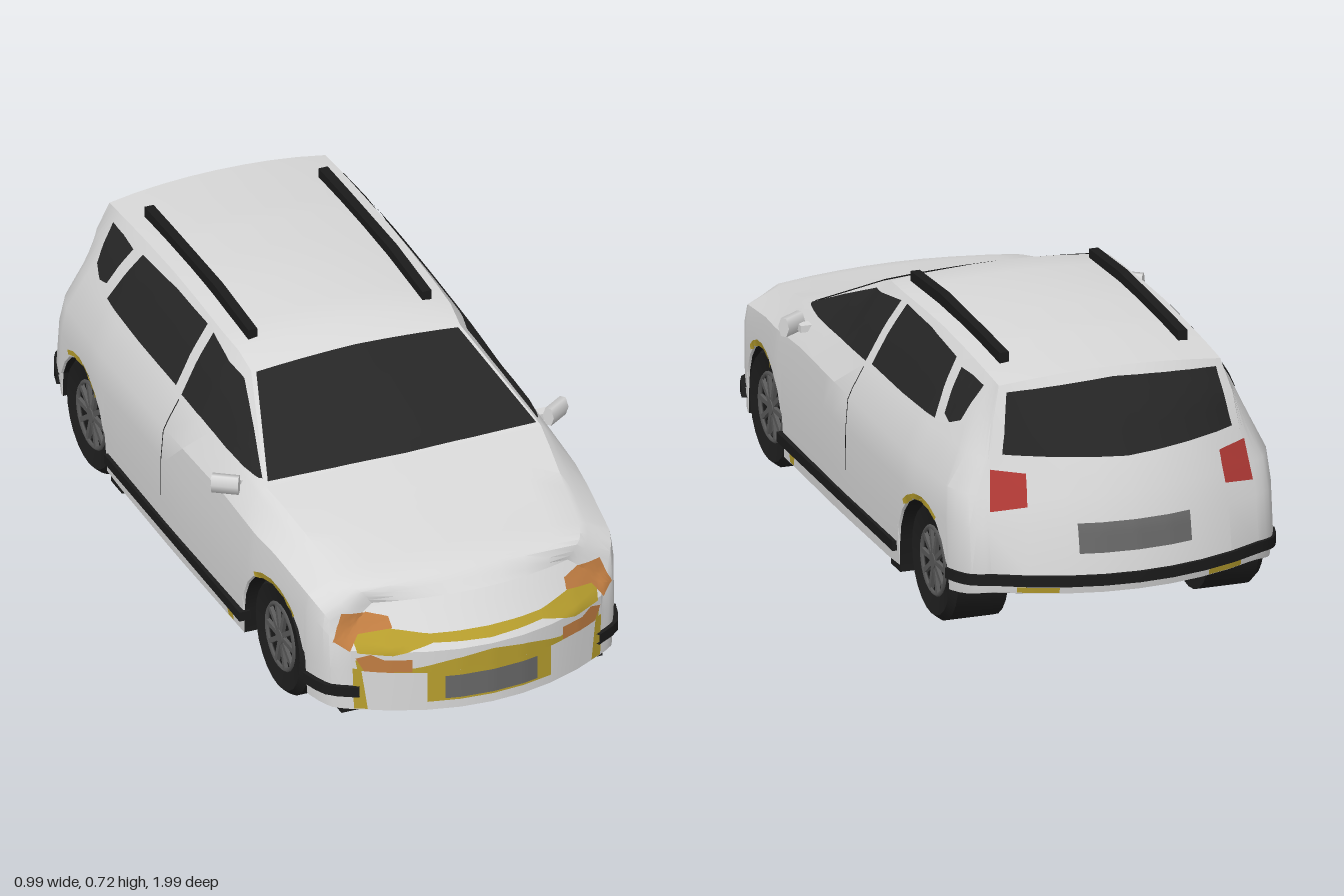
import * as THREE from 'three';
import { toCreasedNormals } from 'three/addons/utils/BufferGeometryUtils.js';

const mat = (name, color) => new THREE.MeshStandardMaterial({ name, color, side: THREE.DoubleSide });
const clamp = (v) => Math.min(1, Math.max(0, v));
const lerp = (a, b, t) => a + (b - a) * t;

// Piecewise linear curve through [key, value] pairs, keys ascending
function curve(pts) {
  return (s) => {
    if (s <= pts[0][0]) return pts[0][1];
    for (let i = 1; i < pts.length; i++) {
      const [a, va] = pts[i - 1], [b, vb] = pts[i];
      if (s <= b) return lerp(va, vb, (s - a) / (b - a));
    }
    return pts[pts.length - 1][1];
  };
}

// Body lines along the length, -1 rear to 1 front
const width = curve([[-1, .36], [-.9, .402], [-.78, .435], [-.5, .452], [0, .455], [.5, .448], [.78, .42], [.9, .39], [1, .345]]);
const bottomY = curve([[-1, .155], [-.75, .13], [-.4, .085], [1, .08]]);
const midY = curve([[-1, .32], [.78, .33], [1, .25]]);
const shoulderY = curve([[-1, .4], [.3, .42], [.6, .4], [.78, .37], [1, .285]]);
const beltY = curve([[-1, .48], [-.7, .5], [.3, .49], [.42, .475], [.78, .39], [1, .32]]);
const beltX = curve([[-1, .335], [-.8, .385], [-.5, .405], [.4, .402], [.78, .375], [1, .31]]);
const edgeY = curve([[-1, .665], [-.7, .675], [-.3, .685], [.05, .668], [.12, .645], [.42, .492], [.5, .478], [.78, .41], [.9, .388], [1, .352]]);
const edgeX = curve([[-1, .298], [-.8, .298], [0, .295], [.12, .288], [.42, .38], [.78, .33], [1, .27]]);
const centreY = curve([[-1, .685], [-.5, .7], [-.2, .705], [.05, .688], [.12, .657], [.42, .498], [.6, .462], [.78, .428], [.9, .402], [1, .362]]);
const rearRake = curve([[.15, .03], [.2, .02], [.3, .035], [.48, .105], [.65, .2], [.69, .235]]);
const rearFade = curve([[.48, 1], [.68, .35]]);

// Raked and rounded nose and tail
function pos(s, x, y) {
  const nose = clamp((s - .78) / .22) ** 2, tail = clamp((-.78 - s) / .22) ** 2, rake = clamp((-.5 - s) / .5);
  const z = s - nose * (.008 + Math.max(0, y - .25) * .8 + .9 * x * x)
    + rake * rearRake(y) + tail * .8 * x * x * rearFade(y);
  return new THREE.Vector3(x, y, z);
}

const AXLES = [.6, -.6], ARCH = .165;
function sillY(s) {
  let y = bottomY(s);
  for (const c of AXLES) {
    const d = Math.abs(s - c);
    if (d <= ARCH) y = Math.max(y, .15 + Math.sqrt(ARCH * ARCH - d * d));
  }
  return y;
}

// Side points of one cross-section, sill up to roof edge
function sidePoints(s) {
  const w = width(s), y0 = sillY(s), bx = beltX(s), by = beltY(s), ex = edgeX(s), ey = edgeY(s);
  return [[w * .985, y0], [w, Math.max(.2, y0 + .004)], [w, Math.max(midY(s), y0 + .008)],
    [w * .985, shoulderY(s)], [bx, by],
    [lerp(bx, ex, .55) + .04 * Math.max(0, ey - by), lerp(by, ey, .55)], [ex, ey]];
}
const topPoint = (s, f) => [edgeX(s) * f, lerp(centreY(s), edgeY(s), f * f)];
const FR = [1, .75, .5, .25, 0, -.25, -.5, -.75, -1];

// Surface through rows of points
function grid(rows, crease = .35) {
  const n = rows[0].length, idx = [];
  for (let i = 0; i < rows.length - 1; i++) for (let j = 0; j < n - 1; j++) {
    const a = i * n + j, b = a + n;
    idx.push(a, a + 1, b, b, a + 1, b + 1);
  }
  const g = new THREE.BufferGeometry().setFromPoints(rows.flat());
  g.setIndex(idx);
  return toCreasedNormals(g, crease);
}

export function createModel() {
  const car = new THREE.Group();
  const paint = mat('bodyPaint', 0xd8d8d8), trim = mat('blackTrim', 0x1b1b1b), glass = mat('darkGlass', 0x262626);
  const rubber = mat('tyreRubber', 0x1e1e1e), alloy = mat('wheelAlloy', 0x5a5a5a), floorGrey = mat('floorGrey', 0x8a8a8a);
  const plateGrey = mat('plateGrey', 0x686868), yellow = mat('yellow', 0xb89f2e), amber = mat('amberLamp', 0xc07d42), red = mat('redLamp', 0xb23a36);

  const add = (name, geo, m, x = 0, y = 0, z = 0, parent = car) => {
    const mesh = new THREE.Mesh(geo, m);
    mesh.name = name;
    mesh.position.set(x, y, z);
    parent.add(mesh);
    return mesh;
  };
  const box = (name, m, w, h, d, x, y, z, parent) => add(name, new THREE.BoxGeometry(w, h, d), m, x, y, z, parent);

  // Stations, closer together round the wheel arches
  const stations = [-1, -.97, -.94, -.9, -.86, -.82, -.78, -.35, -.2, -.05, .05, .12, .22, .32, .42, .5, .78, .82, .86, .9, .94, .97, 1];
  for (const c of AXLES) {
    stations.push(c - ARCH - .003, c + ARCH + .003);
    for (let i = 0; i <= 10; i++) stations.push(c + ARCH * Math.cos(i * Math.PI / 10) * .9999);
  }
  stations.sort((a, b) => a - b);

  // Body shell and both end faces
  const shellRows = stations.map((s) => {
    const side = sidePoints(s), top = FR.slice(1, -1).map((f) => topPoint(s, f));
    const mirror = side.map(([x, y]) => [-x, y]).reverse();
    return [...side, ...top, ...mirror].map(([x, y]) => pos(s, x, y));
  });
  const shells = [add('bodyShell', grid(shellRows, .45), paint)];
  for (const s of [1, -1]) {
    const rows = sidePoints(s).map(([x, y], i, all) => FR.map((f) =>
      i === all.length - 1 ? pos(s, ...topPoint(s, f)) : pos(s, x * f, y)));
    shells.push(add(s > 0 ? 'noseFace' : 'tailFace', grid(rows), paint));
  }

  // Underside with wheel wells, painted under the bumpers
  const under = (name, m, from, to) => add(name, grid(stations.filter((s) => s >= from && s <= to)
    .map((s) => FR.map((f) => pos(s, width(s) * .985 * f, sillY(s))))), m);
  under('underbody', trim, -.94, .94);
  under('frontBumperUnderside', paint, .94, 1);
  under('rearBumperUnderside', paint, -1, -.94);
  box('frontWellCore', trim, .5, .22, .46, 0, .195, .6);
  box('rearWellCore', trim, .5, .18, .42, 0, .22, -.6);
  box('lowerSkirt', trim, .72, .022, 1.27, 0, .069, .225);
  box('floorPan', floorGrey, .74, .008, .8, 0, .058, .01);

  // Thin panels laid onto the body; edges a and b are polylines in the plane seen from that direction
  const caster = new THREE.Raycaster();
  const views = {
    left: (u, v) => [new THREE.Vector3(2, v, u), new THREE.Vector3(-1, 0, 0)],
    right: (u, v) => [new THREE.Vector3(-2, v, u), new THREE.Vector3(1, 0, 0)],
    top: (u, v) => [new THREE.Vector3(u, 2, v), new THREE.Vector3(0, -1, 0)],
    front: (u, v) => [new THREE.Vector3(u, v, 2), new THREE.Vector3(0, 0, -1)],
    back: (u, v) => [new THREE.Vector3(u, v, -2), new THREE.Vector3(0, 0, 1)],
  };
  function project(view, u, v, lift) {
    for (let k = 0; k < 12; k++) {
      const [o, d] = views[view](u, v);
      caster.set(o, d);
      const hit = caster.intersectObjects(shells)[0];
      if (hit) {
        const n = hit.face.normal.clone();
        if (n.dot(d) > 0) n.negate();
        return hit.point.addScaledVector(n, lift);
      }
      u *= .98;
    }
    return new THREE.Vector3(0, .3, 0);
  }
  const along = (line, t) => {
    const k = t * (line.length - 1), i = Math.min(line.length - 2, Math.floor(k));
    return [0, 1].map((c) => lerp(line[i][c], line[i + 1][c], k - i));
  };
  function panel(name, m, view, a, b, lift = .004, cols = 24, rows = 6) {
    const out = [];
    for (let r = 0; r <= rows; r++) {
      const row = [];
      for (let c = 0; c <= cols; c++) {
        const p = along(a, c / cols), q = along(b, c / cols);
        row.push(project(view, lerp(p[0], q[0], r / rows), lerp(p[1], q[1], r / rows), lift));
      }
      out.push(row);
    }
    return add(name, grid(out, .6), m);
  }
  const flip = (line) => line.map(([x, y]) => [-x, y]);

  // Glass
  panel('windscreen', glass, 'top', [[-.278, .128], [0, .123], [.278, .128]], [[-.37, .413], [0, .425], [.37, .413]]);
  panel('rearWindow', glass, 'back', [[-.282, .648], [0, .662], [.282, .648]], [[-.308, .5], [0, .485], [.308, .5]]);
  for (const side of ['left', 'right']) {
    panel(side + 'FrontWindow', glass, side, [[.4, .5], [.26, .565], [.12, .626], [-.07, .658]], [[.39, .497], [.25, .497], [.1, .5], [-.06, .503]]);
    panel(side + 'RearWindow', glass, side, [[-.11, .662], [-.3, .665], [-.5, .655]], [[-.1, .508], [-.33, .51], [-.55, .518]]);
    panel(side + 'QuarterWindow', glass, side, [[-.55, .645], [-.62, .648], [-.695, .645]], [[-.585, .54], [-.625, .53], [-.672, .55]]);
    panel(side + 'DoorSeam', trim, side, [[-.06, .49], [-.062, .22]], [[-.064, .49], [-.066, .22]], .003, 10, 1);
    // Yellow arch edging
    for (const c of AXLES) {
      const arc = (r) => [60, 75, 90, 105, 120, 132].map((d) => [c - r * Math.cos(d * Math.PI / 180), .15 + r * Math.sin(d * Math.PI / 180)]);
      panel(side + 'ArchEdging', yellow, side, arc(.167), arc(.18), .004, 15, 1);
    }
    panel(side + 'SillMark', yellow, side, [[.375, .122], [.335, .122]], [[.375, .09], [.345, .09]], .004, 2, 1);
  }

  // Nose markings, lamps and plates
  panel('grilleBand', yellow, 'front',
    [[-.345, .32], [-.25, .3], [-.15, .286], [0, .286], [.15, .286], [.25, .3], [.345, .32]],
    [[-.33, .245], [-.25, .241], [-.15, .267], [0, .262], [.15, .267], [.25, .241], [.33, .245]], .003, 36);
  panel('bumperBand', yellow, 'front',
    [[-.335, .225], [-.2, .204], [-.1, .224], [0, .237], [.1, .224], [.2, .204], [.335, .225]],
    [[-.33, .195], [-.2, .19], [-.1, .19], [0, .19], [.1, .19], [.2, .19], [.33, .195]], .003, 36, 3);
  panel('plateSurround', yellow, 'front', [[-.17, .19], [.17, .19]], [[-.17, .105], [.17, .105]], .003);
  panel('frontPlate', plateGrey, 'front', [[-.125, .178], [.125, .178]], [[-.125, .113], [.125, .113]], .007);
  panel('rearPlate', plateGrey, 'back', [[-.15, .335], [.15, .335]], [[-.15, .26], [.15, .26]], .005);
  for (const m of [(l) => l, flip]) {
    panel('headlight', amber, 'front', m([[.355, .34], [.3, .335], [.24, .324]]), m([[.382, .27], [.315, .286], [.238, .3]]), .007);
    panel('headlightTip', amber, 'front', m([[.38, .272], [.315, .292]]), m([[.345, .25], [.322, .282]]), .007, 6, 3);
    panel('fogLamp', amber, 'front', m([[.334, .232], [.3, .245], [.27, .231], [.205, .231]]), m([[.315, .196], [.29, .195], [.26, .195], [.205, .195]]), .007);
    panel('bumperCorner', yellow, 'front', m([[.322, .2], [.341, .2]]), m([[.307, .084], [.338, .084]]), .003, 4, 6);
    panel('tailLight', red, 'back', m([[.258, .455], [.34, .462]]), m([[.265, .375], [.352, .36]]), .005, 8, 8);
    panel('rearBumperMark', yellow, 'back', m([[.2, .173], [.3, .173]]), m([[.2, .158], [.3, .158]]), .003, 6, 1);
  }

  // Flat bumper strips following the body outline
  function strip(name, pts) {
    const rows = pts.map((p, i) => {
      const t = pts[Math.min(i + 1, pts.length - 1)].clone().sub(pts[Math.max(i - 1, 0)]);
      const n = new THREE.Vector3(t.z, 0, -t.x).normalize();
      return [[-1, -1], [1, -1], [1, 1], [-1, 1], [-1, -1]].map(([a, b]) =>
        p.clone().addScaledVector(n, a * .011).add(new THREE.Vector3(0, b * .014, 0)));
    });
    add(name, grid(rows, .5), trim);
  }
  const mirrorPts = (pts) => pts.map((p) => new THREE.Vector3(-p.x, p.y, p.z));
  const rearSide = [-.77, -.82, -.86, -.9, -.95].map((s) => pos(s, width(s) - .003, lerp(.18, .192, (-.77 - s) / .23)));
  const rearMid = FR.map((f) => pos(-1, width(-1) * f, .192));
  strip('rearBumperStrip', [...rearSide, ...rearMid, ...mirrorPts(rearSide).reverse()]);
  const frontSide = [.775, .83, .88, .94, .99].map((s) => pos(s, width(s), .135));
  frontSide.push(pos(1, .325, .135));
  strip('leftBumperStrip', frontSide);
  strip('rightBumperStrip', mirrorPts(frontSide));

  for (const k of [1, -1]) {
    // Sill trim, roof rail and mirror
    box('sillTrim', trim, .03, .026, .86, k * .445, .136, .012);
    box('sillEnd', trim, .04, .07, .07, k * .42, .1, -.385);
    const rail = new THREE.BoxGeometry(.025, .042, .66, 1, 1, 12);
    const p = rail.attributes.position;
    for (let i = 0; i < p.count; i++) p.setY(i, p.getY(i) + centreY(p.getZ(i) - .31) - .01);
    add('roofRail', toCreasedNormals(rail, .5), trim, k * .24, 0, -.31);
    const mirror = new THREE.Group();
    mirror.name = 'wingMirror';
    box('mirrorArm', paint, .06, .018, .03, k * .41, .465, .33, mirror);
    const head = add('mirrorHead', new THREE.CylinderGeometry(.028, .028, .07, 6), paint, k * .455, .473, .342, mirror);
    head.rotation.set(0, k * .6, Math.PI / 2);
    head.scale.set(1, 1, .6);
    car.add(mirror);

    // Wheels
    for (const z of AXLES) {
      const wheel = new THREE.Group();
      wheel.name = 'wheel';
      wheel.position.set(k * .345, .155, z);
      wheel.rotation.y = k * Math.PI / 2;
      const tyre = [[.09, .068], [.14, .078], [.155, .06], [.155, -.075], [0, -.075]].map(([r, y]) => new THREE.Vector2(r, y));
      add('tyre', toCreasedNormals(new THREE.LatheGeometry(tyre, 24), .5), rubber, 0, 0, 0, wheel).rotation.x = Math.PI / 2;
      add('rimBack', new THREE.CircleGeometry(.092, 24), trim, 0, 0, .06, wheel);
      add('rimRing', new THREE.TorusGeometry(.087, .006, 4, 24), alloy, 0, 0, .07, wheel);
      add('hub', new THREE.CylinderGeometry(.02, .02, .015, 12), alloy, 0, 0, .068, wheel).rotation.x = Math.PI / 2;
      for (let i = 0; i < 10; i++) {
        const a = i * Math.PI / 5;
        box('spoke', alloy, .07, .013, .01, Math.cos(a) * .05, Math.sin(a) * .05, .068, wheel).rotation.z = a;
      }
      car.add(wheel);
    }
  }
  return car;
}
